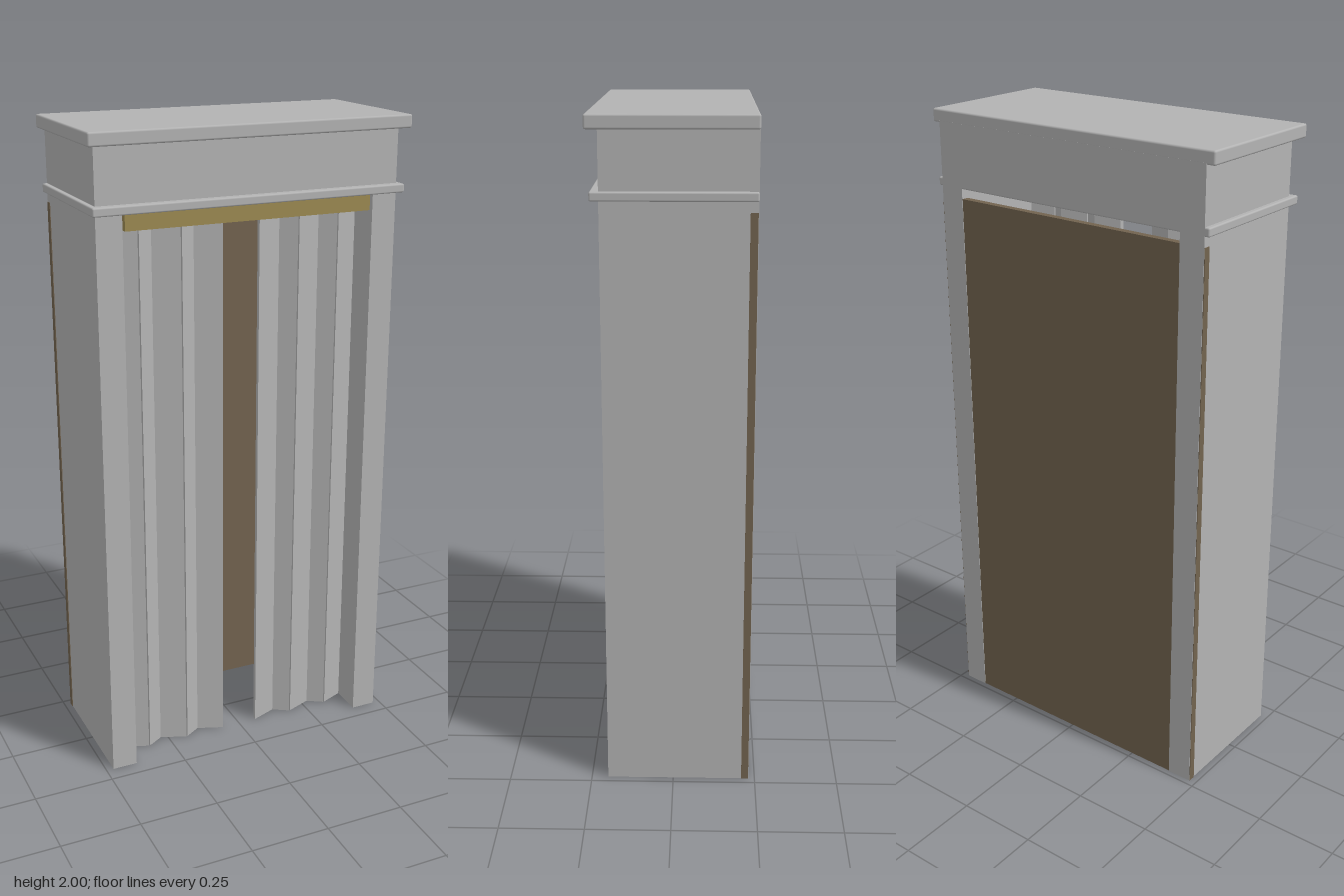
import * as THREE from 'three';
import { RoundedBoxGeometry } from 'three/addons/geometries/RoundedBoxGeometry.js';

export function createModel() {
  const model = new THREE.Group();
  model.name = 'curtainedBooth';

  const mat = (name, color) => {
    const m = new THREE.MeshStandardMaterial({ color });
    m.name = name;
    return m;
  };
  const grey = mat('grey', 0xb3b3b3);
  const brown = mat('brown', 0x72634f);
  const brass = mat('brass', 0x9c8a52);

  const add = (name, geometry, material) => {
    const mesh = new THREE.Mesh(geometry, material);
    mesh.name = name;
    model.add(mesh);
    return mesh;
  };
  // Box given by its limits; an optional radius softens the edges
  const box = (name, material, [x0, x1], [y0, y1], [z0, z1], r = 0) => {
    const size = [x1 - x0, y1 - y0, z1 - z0];
    const g = r ? new RoundedBoxGeometry(...size, 2, r) : new THREE.BoxGeometry(...size);
    g.translate((x0 + x1) / 2, (y0 + y1) / 2, (z0 + z1) / 2);
    return add(name, g, material);
  };

  const back = -0.232;

  // Side walls
  box('leftWall', grey, [0.398, 0.477], [0, 1.775], [back, 0.2]);
  box('rightWall', grey, [-0.477, -0.398], [0, 1.775], [back, 0.2]);

  // Back board, showing as a thin strip along the side walls
  box('backBoard', brown, [-0.479, 0.479], [0, 1.74], [-0.2305, -0.209]);

  // Head: moulding, frieze and cornice, flush at the back
  box('moulding', grey, [-0.492, 0.492], [1.77, 1.796], [back, 0.225], 0.005);
  box('frieze', grey, [-0.477, 0.477], [1.775, 1.965], [back, 0.2]);
  box('cornice', grey, [-0.503, 0.503], [1.96, 2], [back, 0.235], 0.006);

  // Brass pelmet over the opening
  box('pelmet', brass, [-0.39, 0.39], [1.72, 1.772], [0.18, 0.198]);

  // Curtain pleats: upright folded strips, three on each side
  const front = 0.125, fold = 0.095, thick = 0.014;
  const pleat = (name, side, x, last) => {
    const line = last
      ? [[x, front], [x + 0.076, fold]]
      : [[x, front], [x + 0.08, fold], [x + 0.129, front]];
    const outline = [...line, ...line.map(([px, pz]) => [px, pz - thick]).reverse()];
    const shape = new THREE.Shape(outline.map(([px, pz]) => new THREE.Vector2(side * px, -pz)));
    const g = new THREE.ExtrudeGeometry(shape, { depth: 1.715, bevelEnabled: false });
    g.rotateX(-Math.PI / 2);
    add(name, g, grey);
  };
  for (const side of [1, -1]) {
    for (let i = 0; i < 3; i++) {
      pleat(`${side > 0 ? 'left' : 'right'}CurtainPleat${i + 1}`, side, 0.06 + i * 0.133, i === 2);
    }
  }

  return model;
}
